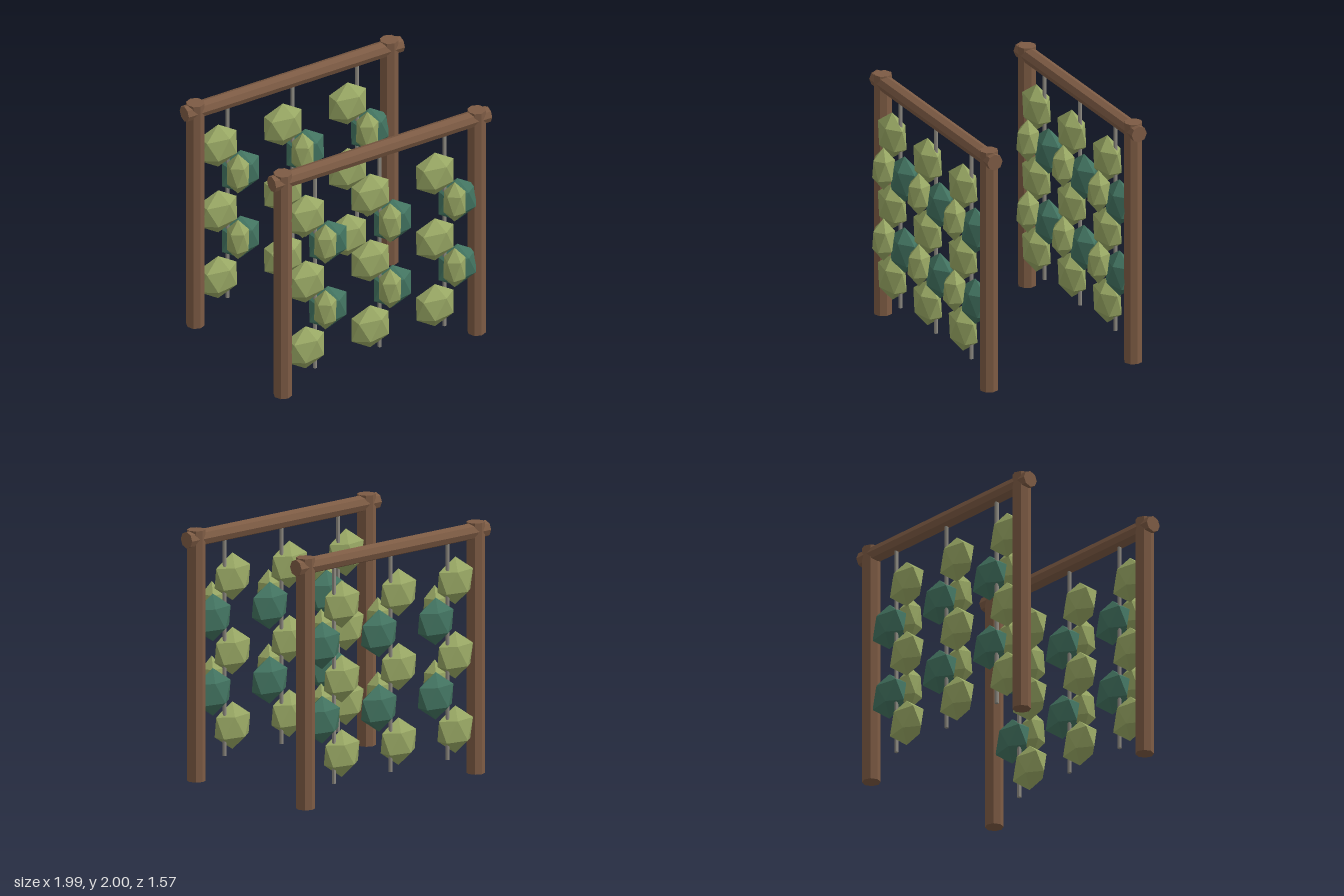
import * as THREE from 'three';

const paint = (name, color) => {
  const m = new THREE.MeshStandardMaterial({ color });
  m.name = name;
  return m;
};

// Faceted rod standing along y
function facetedRod(radius, length, sides) {
  const g = new THREE.CylinderGeometry(radius, radius, length, sides).toNonIndexed();
  g.computeVertexNormals();
  return g;
}

// Twenty-sided leaf clump with one corner pointing up
function clump(radius, sx, sz, turn = 0) {
  const g = new THREE.IcosahedronGeometry(radius, 0);
  g.rotateZ(-0.5536);
  g.rotateY(turn);
  g.scale(sx, 1, sz);
  g.computeVertexNormals();
  return g;
}

export function createModel() {
  const wood = paint('brown wood', 0x7d5b44);
  const lightLeaf = paint('light green leaf', 0x98a764);
  const darkLeaf = paint('dark green leaf', 0x427360);
  const metal = paint('grey stem', 0x8e8b82);

  const postGeo = facetedRod(0.073, 2, 8);
  const beamGeo = facetedRod(0.066, 1.985, 8).rotateZ(Math.PI / 2);
  const stemGeo = facetedRod(0.016, 1.76, 8);
  const broadGeo = clump(0.19, 1, 0.54);
  const slimGeo = clump(0.178, 0.56, 0.56, -Math.PI / 2);

  const model = new THREE.Group();
  model.name = 'hangingPlantFrames';

  const add = (parent, name, geo, mat, x, y, z) => {
    const mesh = new THREE.Mesh(geo, mat);
    mesh.name = name;
    mesh.position.set(x, y, z);
    parent.add(mesh);
  };

  // Two identical frames, front and back
  for (const [name, z] of [['frontFrame', 0.547], ['backFrame', -0.713]]) {
    const frame = new THREE.Group();
    frame.name = name;
    frame.position.z = z;
    model.add(frame);

    add(frame, 'leftPost', postGeo, wood, 0.89, 1, 0);
    add(frame, 'rightPost', postGeo, wood, -0.89, 1, 0);
    add(frame, 'beam', beamGeo, wood, 0, 1.93, 0);

    // Three hanging vines per frame
    for (const x of [-0.594, 0, 0.594]) {
      const vine = new THREE.Group();
      vine.name = 'vine';
      vine.position.x = x;
      frame.add(vine);
      add(vine, 'stem', stemGeo, metal, 0, 1.03, 0);
      for (const y of [1.56, 0.967, 0.374]) add(vine, 'lightLeaf', broadGeo, lightLeaf, -0.1, y, 0.02);
      for (const y of [1.265, 0.672]) {
        add(vine, 'darkLeaf', darkLeafGeo(broadGeo), darkLeaf, 0.105, y, 0.02);
        add(vine, 'slimLeaf', slimGeo, lightLeaf, 0, y + 0.073, 0.148);
      }
    }
  }
  return model;
}

// Dark leaves share the broad clump shape
function darkLeafGeo(geo) {
  return geo;
}
